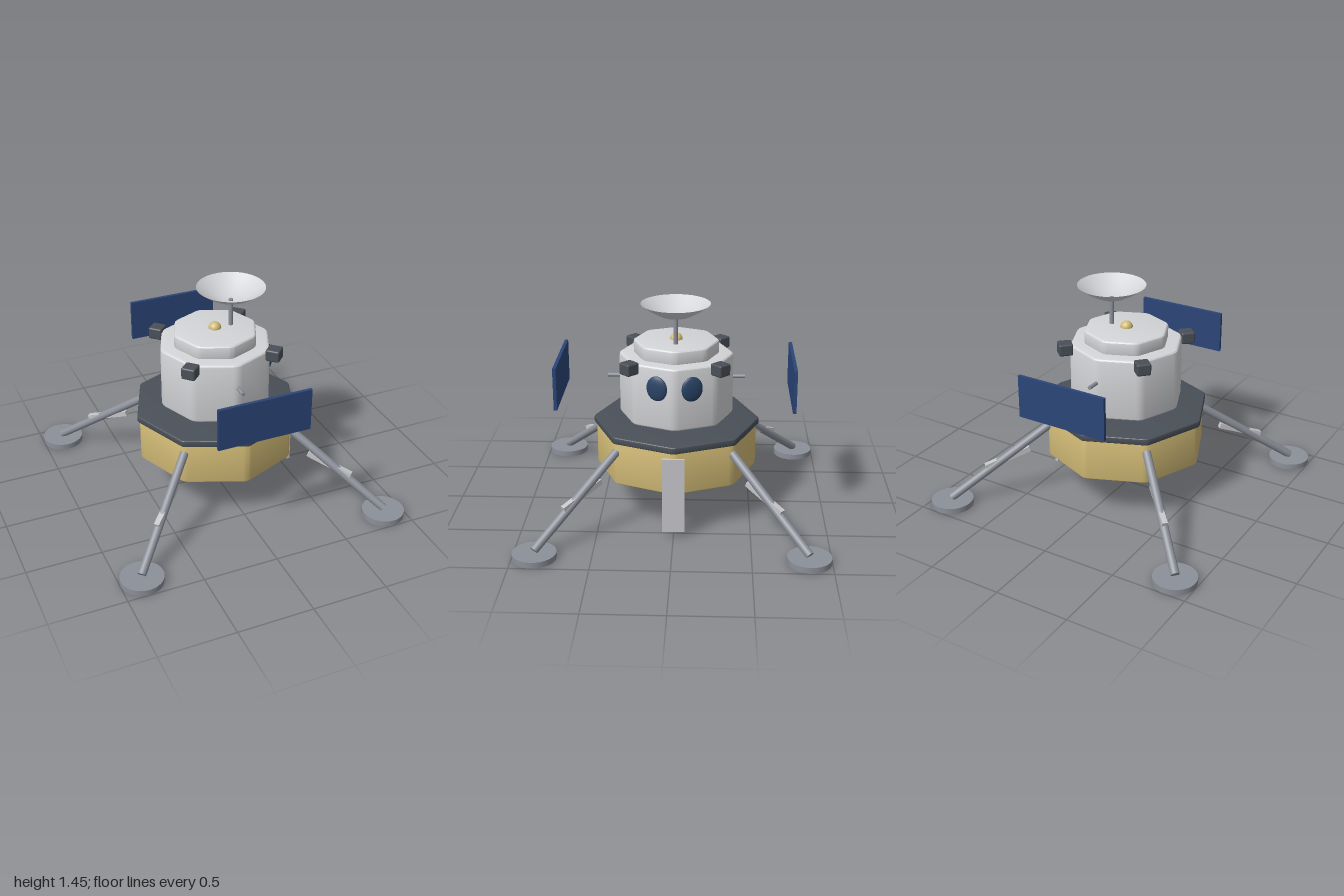
import * as THREE from 'three';
import { toCreasedNormals } from 'three/addons/utils/BufferGeometryUtils.js';
import { RoundedBoxGeometry } from 'three/addons/geometries/RoundedBoxGeometry.js';

const material = (name, color, side = THREE.FrontSide) => {
  const m = new THREE.MeshStandardMaterial({ color, side });
  m.name = name;
  return m;
};

// Octagonal prism with a corner on each axis and softened edges
function octagon(r, y0, y1, corner, bevel) {
  const pts = Array.from({ length: 8 }, (_, i) =>
    new THREE.Vector2(Math.cos(i * Math.PI / 4), Math.sin(i * Math.PI / 4)).multiplyScalar(r));
  const t = corner / (2 * r * Math.sin(Math.PI / 8));
  const shape = new THREE.Shape();
  pts.forEach((p, i) => {
    const a = p.clone().lerp(pts[(i + 7) % 8], t);
    const b = p.clone().lerp(pts[(i + 1) % 8], t);
    if (i === 0) shape.moveTo(a.x, a.y); else shape.lineTo(a.x, a.y);
    shape.quadraticCurveTo(p.x, p.y, b.x, b.y);
  });
  shape.closePath();
  const geo = new THREE.ExtrudeGeometry(shape, {
    depth: y1 - y0 - 2 * bevel, bevelThickness: bevel, bevelSize: bevel,
    bevelOffset: -bevel, bevelSegments: 3, curveSegments: 3,
  });
  geo.rotateX(-Math.PI / 2).translate(0, y0 + bevel, 0);
  return toCreasedNormals(geo, 0.4);
}

// Straight rod between two points
function rod(a, b, r) {
  const from = new THREE.Vector3(...a), to = new THREE.Vector3(...b);
  const dir = to.clone().sub(from);
  const geo = new THREE.CylinderGeometry(r, r, dir.length(), 20);
  geo.applyQuaternion(new THREE.Quaternion().setFromUnitVectors(
    new THREE.Vector3(0, 1, 0), dir.normalize()));
  const mid = from.add(to).multiplyScalar(0.5);
  return geo.translate(mid.x, mid.y, mid.z);
}

export function createModel() {
  const model = new THREE.Group();
  model.name = 'lander';
  const white = material('hull white', 0xd4d5d8);
  const dishWhite = material('dish white', 0xd4d5d8, THREE.DoubleSide);
  const gold = material('gold foil', 0xd2bb76);
  const dark = material('dark grey', 0x4a5058);
  const metal = material('metal grey', 0x8c9099);
  const pale = material('pale grey', 0xc6c6ca);
  const solar = material('solar blue', 0x2b4679);
  const glass = material('window blue', 0x2a4466);

  const add = (name, geo, mat, parent = model) => {
    const mesh = new THREE.Mesh(geo, mat);
    mesh.name = name;
    parent.add(mesh);
    return mesh;
  };

  // Lower stage and engine
  add('descentStage', octagon(0.543, 0.293, 0.585, 0.03, 0.012), gold);
  add('deck', octagon(0.559, 0.58, 0.627, 0.02, 0.01), dark);
  add('engineNozzle', new THREE.CylinderGeometry(0.168, 0.044, 0.137, 32).translate(0, 0.2315, 0), metal);

  // Cabin and roof
  add('cabin', octagon(0.384, 0.663, 1.086, 0.035, 0.02), white);
  add('roof', octagon(0.288, 1.075, 1.174, 0.03, 0.018), white);
  add('beacon', new THREE.SphereGeometry(0.042, 24, 16).translate(0, 1.173, 0), gold);

  // Windows, one on each face beside the +x corner
  for (const s of [1, -1]) {
    const w = add('window', new THREE.SphereGeometry(1, 32, 20).scale(0.022, 0.083, 0.072), glass);
    w.position.set(0.341, 0.945, s * 0.113);
    w.rotation.y = -s * Math.PI / 8;
  }

  // Dish antenna
  add('antennaMast', rod([0.113, 1.16, 0], [0.113, 1.36, 0], 0.015), metal);
  const profile = [[0, 1.348], [0.05, 1.353], [0.1, 1.367], [0.165, 1.402], [0.226, 1.446]]
    .map(([x, y]) => new THREE.Vector2(x, y));
  add('antennaDish', new THREE.LatheGeometry(profile, 40).translate(0.113, 0, 0), dishWhite);

  // Solar panels with stub arms
  for (const s of [1, -1]) {
    add('solarPanel', new THREE.BoxGeometry(0.626, 0.285, 0.022).translate(0, 0.918, s * 0.772), solar);
    add('panelArm', rod([0, 0.918, s * 0.34], [0, 0.918, s * 0.457], 0.013), metal);
  }

  // Egress ladder plate
  add('ladder', new THREE.BoxGeometry(0.02, 0.51, 0.144).translate(0.542, 0.29, 0), pale);

  // Four legs and thruster blocks, built along +x and turned to the diagonals
  for (let i = 0; i < 4; i++) {
    const quarter = new THREE.Group();
    quarter.name = 'legAndThruster';
    quarter.rotation.y = Math.PI / 4 + i * Math.PI / 2;
    model.add(quarter);
    add('leg', rod([0.53, 0.52, 0], [1.215, 0.05, 0], 0.028), metal, quarter);
    add('footPad', new THREE.CylinderGeometry(0.14, 0.14, 0.04, 40).translate(1.213, 0.02, 0), metal, quarter);
    const strut = add('strut', new THREE.BoxGeometry(0.32, 0.036, 0.036), pale, quarter);
    strut.position.set(0.825, 0.305, 0);
    strut.rotation.z = -0.33;
    add('thruster', new RoundedBoxGeometry(0.094, 0.08, 0.094, 3, 0.012).translate(0.413, 1.064, 0), dark, quarter);
  }
  return model;
}
